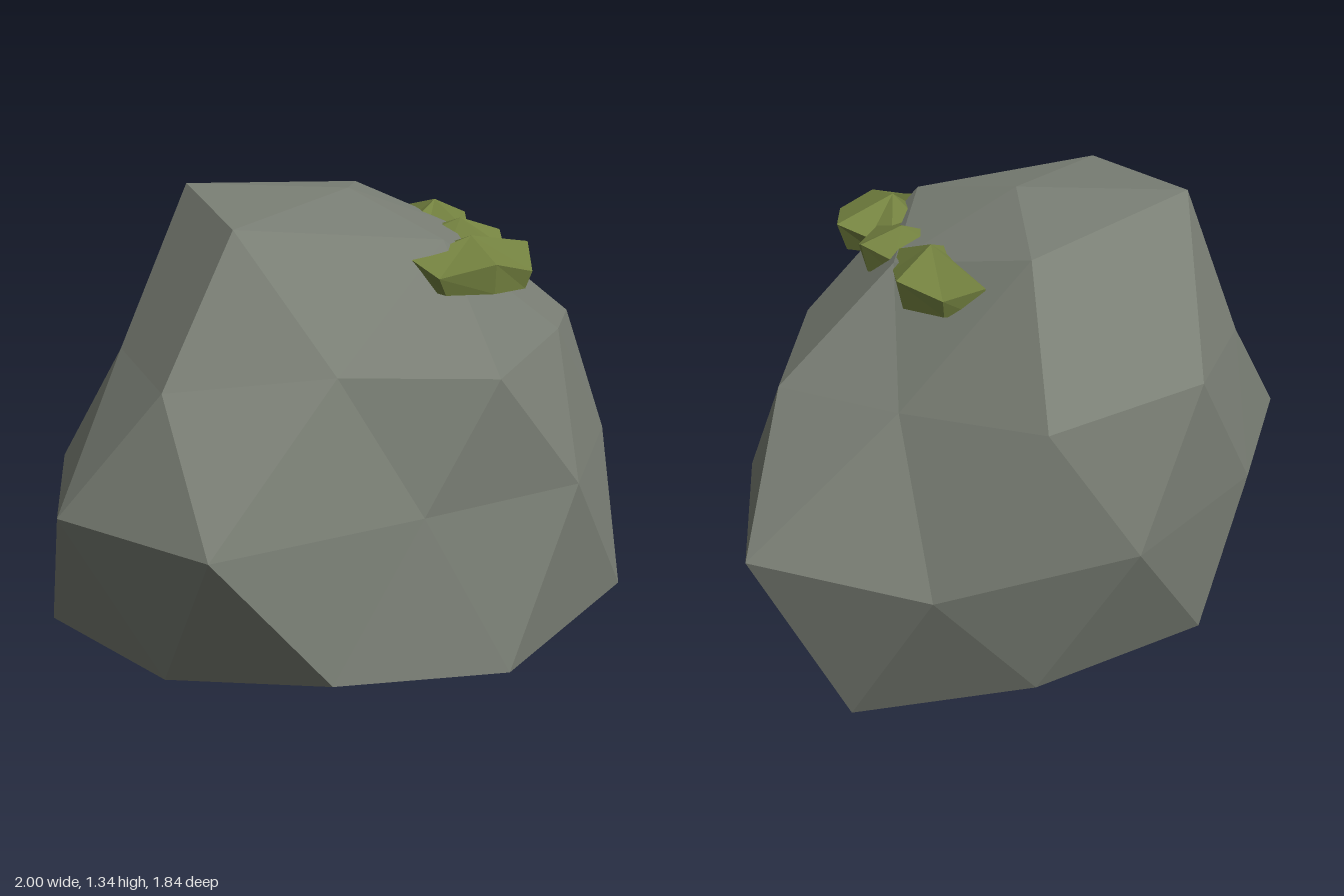
import * as THREE from 'three';

// Flat-faced mesh from a list of triangles, each a triple of [x, y, z] corners
function facetMesh(name, triangles, material) {
  const geometry = new THREE.BufferGeometry();
  geometry.setAttribute('position', new THREE.Float32BufferAttribute(triangles.flat(2), 3));
  geometry.computeVertexNormals();
  const mesh = new THREE.Mesh(geometry, material);
  mesh.name = name;
  return mesh;
}

const at = (ring, i) => ring[(i + ring.length) % ring.length];

// Boulder: rings of 1, 5, 10, 10, 10, 5, 1 points joined like a subdivided icosahedron
function boulder(material) {
  const top = [-0.02, 1.34, -0.01];
  const crown = [[-0.47, 1.295, 0.37], [0.13, 1.245, 0.42], [0.4, 1.18, -0.08], [0.16, 1.285, -0.51], [-0.47, 1.34, -0.25]];
  const shoulder = [
    [-0.72, 0.9, 0.57], [-0.27, 0.94, 0.7], [0.2, 0.9, 0.7], [0.55, 0.93, 0.3], [0.78, 0.88, -0.14],
    [0.55, 0.9, -0.5], [0.3, 0.96, -0.92], [-0.26, 0.94, -0.74], [-0.62, 0.9, -0.32], [-0.75, 0.92, 0.11],
  ];
  const waist = [
    [-0.68, 0.92], [-0.04, 0.76], [0.49, 0.61], [0.81, 0.1], [1, -0.5],
    [0.62, -0.91], [0.01, -0.9], [-0.52, -0.59], [-0.9, -0.12], [-1, 0.46],
  ].map(([x, z]) => [x, 0.54, z]);
  const skirt = [
    [-0.74, 0.08, 0.585], [-0.34, 0.135, 0.88], [0.22, 0.05, 0.77], [0.74, 0.12, 0.4], [0.78, 0.13, -0.14],
    [0.78, 0.12, -0.69], [0.26, 0.11, -0.77], [-0.32, 0.12, -0.68], [-0.63, 0.1, -0.12], [-0.99, 0.125, 0.16],
  ];
  const foot = [[-0.2, 0.52], [0.43, 0.27], [0.43, -0.35], [-0.13, -0.46], [-0.53, 0.08]].map(([x, z]) => [x, 0, z]);
  const bottom = [0, 0, 0];

  const tris = [];
  for (let k = 0; k < 5; k++) {
    const c = crown[k], cNext = at(crown, k + 1), f = foot[k], fNext = at(foot, k + 1);
    const s = (i) => at(shoulder, 2 * k + i), b = (i) => at(skirt, 2 * k + i);
    tris.push([top, c, cNext], [c, s(-1), s(0)], [c, s(0), s(1)], [c, s(1), cNext]);
    tris.push([f, b(1), b(0)], [f, b(2), b(1)], [f, fNext, b(2)], [bottom, fNext, f]);
  }
  for (let j = 0; j < 10; j++) {
    const w = waist[j], wPrev = at(waist, j - 1);
    tris.push([shoulder[j], wPrev, w], [shoulder[j], w, at(shoulder, j + 1)]);
    tris.push([w, skirt[j], at(skirt, j + 1)], [wPrev, skirt[j], w]);
  }
  return facetMesh('boulder', tris, material);
}

// Moss clump: peaked cap over a ragged rim, tapering to a flat underside
function mossClump(name, peak, outline, material) {
  const [px, , pz] = peak;
  const rim = outline.map(([x, z], i) => [x, i % 2 ? 1.165 : 1.2, z]);
  const base = outline.map(([x, z]) => [px + (x - px) * 0.86, 1.115, pz + (z - pz) * 0.95]);
  const under = [px, 1.11, pz];
  const tris = [];
  rim.forEach((r, i) => {
    const rNext = at(rim, i + 1), b = base[i], bNext = at(base, i + 1);
    tris.push([peak, rNext, r], [r, rNext, b], [rNext, bNext, b], [under, b, bNext]);
  });
  return facetMesh(name, tris, material);
}

export function createModel() {
  const stone = new THREE.MeshStandardMaterial({ color: 0x7a7f75 });
  stone.name = 'grey stone';
  const green = new THREE.MeshStandardMaterial({ color: 0x748240 });
  green.name = 'moss green';

  const model = new THREE.Group();
  model.name = 'mossyBoulder';
  model.add(boulder(stone));

  // Strip of moss along the left shoulder
  const moss = new THREE.Group();
  moss.name = 'moss';
  moss.add(
    mossClump('mossBack', [0.33, 1.262, -0.2], [
      [0.27, -0.45], [0.38, -0.41], [0.47, -0.29], [0.41, -0.1], [0.36, -0.02], [0.24, -0.03], [0.2, -0.08], [0.2, -0.22],
    ], green),
    mossClump('mossMiddle', [0.32, 1.243, 0.06], [
      [0.25, -0.04], [0.38, -0.03], [0.45, 0.06], [0.42, 0.17], [0.34, 0.22], [0.2, 0.25], [0.19, 0.07],
    ], green),
    mossClump('mossFront', [0.23, 1.245, 0.38], [
      [0.3, 0.2], [0.37, 0.21], [0.45, 0.28], [0.35, 0.55], [0.22, 0.6], [0.06, 0.58], [0.02, 0.46], [0.12, 0.43], [0.2, 0.25],
    ], green),
  );
  model.add(moss);
  return model;
}
